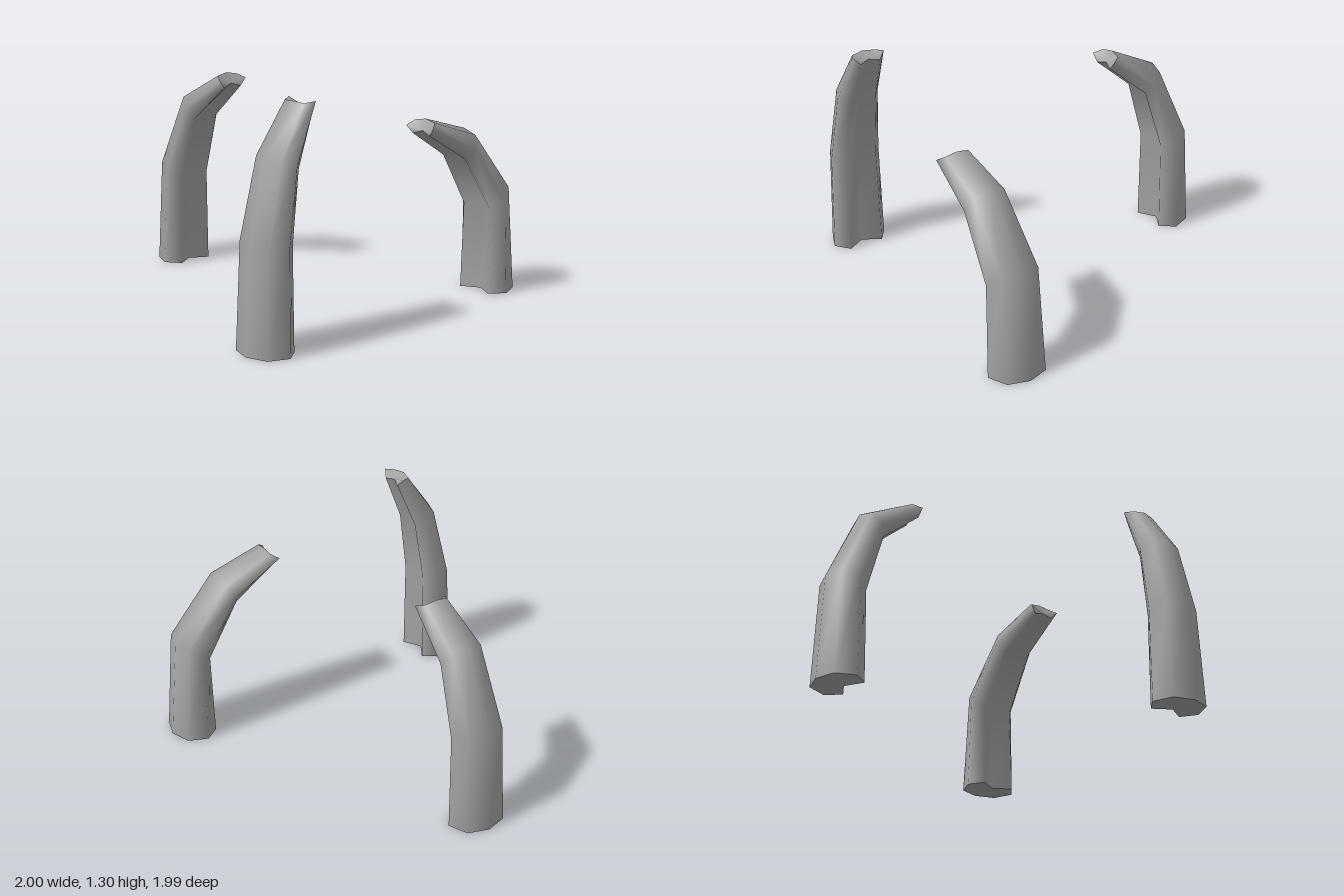
import * as THREE from 'three';

// Cross-section: [depth from inner lip (0) to outer ridge (1), lateral fraction of half-width]
const SECTION = [
  [1, 0], [0.84, 0.72], [0.36, 1], [0, 0.62],
  [0.26, 0], [0, -0.62], [0.36, -1], [0.84, -0.72],
];
const HALF_WIDTHS = [0.17, 0.157, 0.132, 0.1];
const N = SECTION.length;
const NOTCH = 4;

// Sweeps the grooved section through stations [outerX, outerY, innerX, innerY]
function clawGeometry(stations) {
  const pos = [];
  const index = [];
  const addRing = (k) => {
    const [ox, oy, ix, iy] = stations[k];
    const tip = k === stations.length - 1;
    const depth = Math.hypot(ox - ix, oy - iy);
    // direction along the claw, used to bulge the tip sides forward
    const tx = -(oy - iy) / depth, ty = (ox - ix) / depth;
    for (const [d, w] of SECTION) {
      const push = tip && d > 0.3 && d < 0.5 ? 0.03 : 0;
      pos.push(ix + (ox - ix) * d + tx * push, iy + (oy - iy) * d + ty * push, w * HALF_WIDTHS[k]);
    }
  };
  stations.forEach((_, k) => addRing(k));
  // walls
  for (let k = 0; k < stations.length - 1; k++) {
    for (let i = 0; i < N; i++) {
      const a = k * N + i, a2 = k * N + (i + 1) % N;
      index.push(a, a + N, a2, a + N, a2 + N, a2);
    }
  }
  // end caps, fanned from the groove, with their own vertices for a sharp edge
  for (const k of [0, stations.length - 1]) {
    const start = pos.length / 3;
    addRing(k);
    for (let j = 1; j < N - 1; j++) {
      const b = start + (NOTCH + j) % N, c = start + (NOTCH + j + 1) % N;
      if (k === 0) index.push(start + NOTCH, b, c);
      else index.push(start + NOTCH, c, b);
    }
  }
  const g = new THREE.BufferGeometry();
  g.setAttribute('position', new THREE.Float32BufferAttribute(pos, 3));
  g.setIndex(index);
  g.computeVertexNormals();
  return g;
}

export function createModel() {
  const model = new THREE.Group();
  model.name = 'claws';
  const grey = new THREE.MeshStandardMaterial({ color: 0xa0a0a0 });
  grey.name = 'stone grey';

  // Each claw is shaped pointing outward along +x, then turned into place
  const claws = [
    { name: 'leftClaw', turn: 0, at: [0, 0.82],
      stations: [[1, 0, 0.76, 0], [0.935, 0.63, 0.765, 0.505], [0.64, 0.975, 0.56, 0.82], [0.32, 1.07, 0.285, 0.985]] },
    { name: 'rightClaw', turn: Math.PI, at: [0, 0.82],
      stations: [[1, 0, 0.76, 0], [0.973, 0.59, 0.765, 0.57], [0.867, 1.03, 0.71, 0.96], [0.68, 1.295, 0.59, 1.255]] },
    { name: 'backClaw', turn: Math.PI / 2, at: [-0.03, 0],
      stations: [[1, 0, 0.76, 0], [0.963, 0.62, 0.76, 0.55], [0.755, 1.06, 0.645, 0.92], [0.455, 1.21, 0.397, 1.13]] },
  ];
  for (const c of claws) {
    const mesh = new THREE.Mesh(clawGeometry(c.stations), grey);
    mesh.name = c.name;
    mesh.rotation.y = c.turn;
    mesh.position.set(c.at[0], 0, c.at[1]);
    model.add(mesh);
  }
  return model;
}
